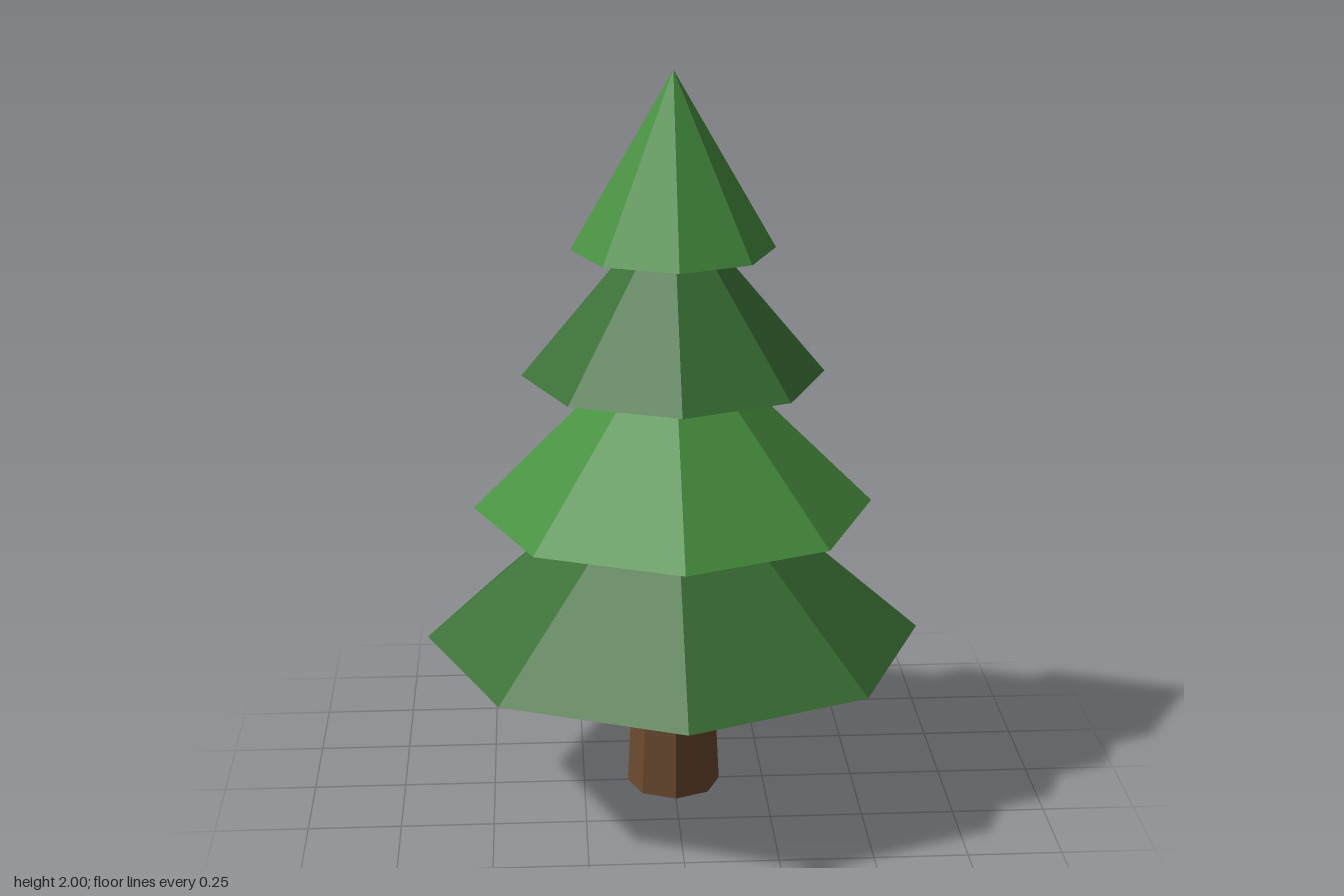
import * as THREE from 'three';

export function createModel() {
  const tree = new THREE.Group();
  tree.name = 'pineTree';
  const material = (color) => new THREE.MeshStandardMaterial({ color, flatShading: true });
  const bark = material(0x6b4a30);
  const darkGreen = material(0x3a7035);
  const lightGreen = material(0x489040);

  // Tapered eight-sided trunk
  const trunkHeight = 0.46;
  const trunk = new THREE.Mesh(new THREE.CylinderGeometry(0.105, 0.128, trunkHeight, 8), bark);
  trunk.name = 'trunk';
  trunk.position.y = trunkHeight / 2;
  tree.add(trunk);

  // Overlapping foliage cones, from the bottom up
  const tiers = [
    { base: 0.447, radius: 0.674, height: 0.585 },
    { base: 0.82, radius: 0.539, height: 0.535 },
    { base: 1.19, radius: 0.404, height: 0.485 },
    { base: 1.53, radius: 0.27, height: 0.47 },
  ];
  tiers.forEach(({ base, radius, height }, i) => {
    const cone = new THREE.Mesh(
      new THREE.ConeGeometry(radius, height, 8),
      i % 2 ? lightGreen : darkGreen
    );
    cone.name = `foliageTier${i + 1}`;
    cone.position.y = base + height / 2;
    tree.add(cone);
  });

  return tree;
}
